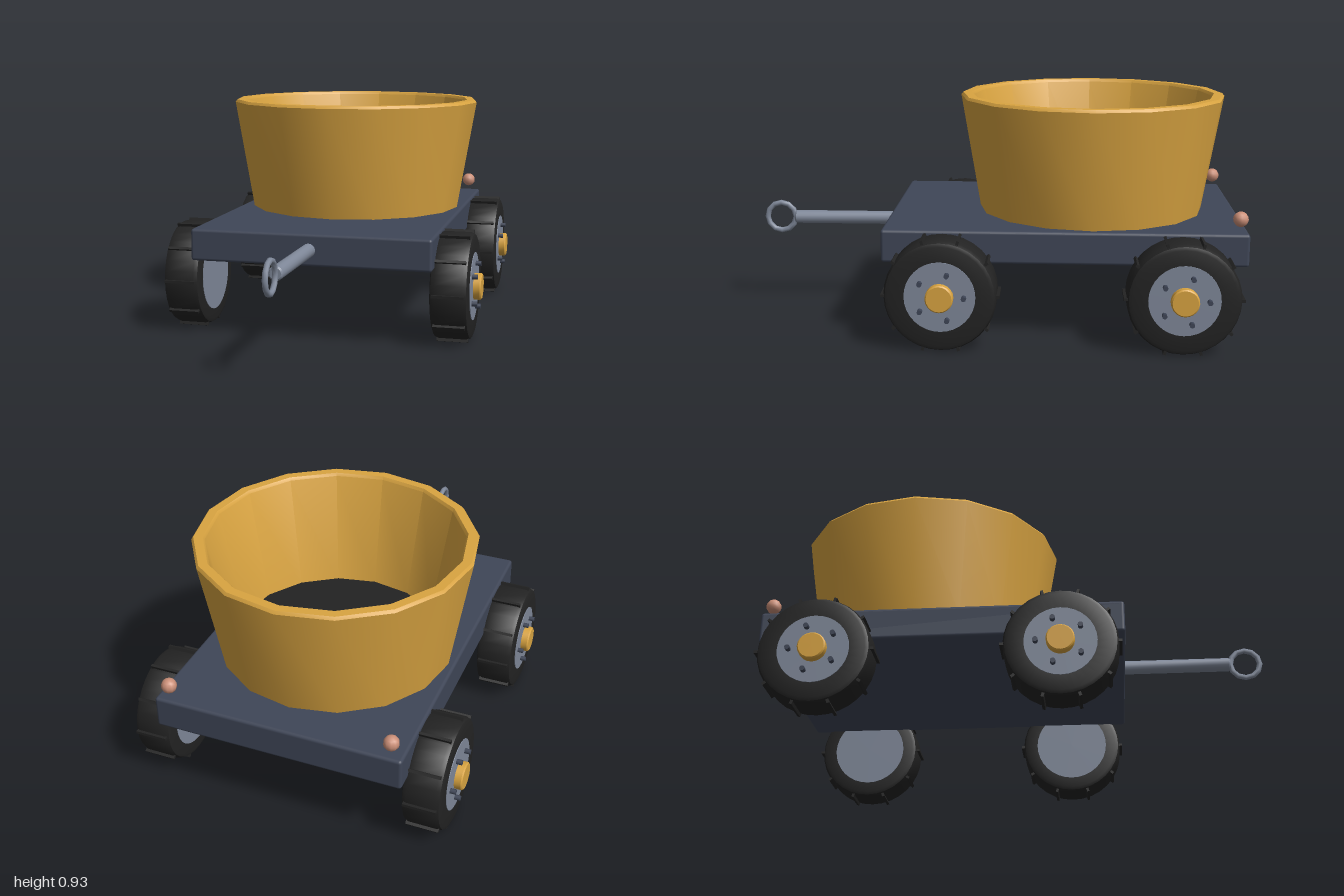
import * as THREE from 'three';
import { toCreasedNormals } from 'three/addons/utils/BufferGeometryUtils.js';
import { RoundedBoxGeometry } from 'three/addons/geometries/RoundedBoxGeometry.js';

const material = (name, color) => {
  const m = new THREE.MeshStandardMaterial({ color });
  m.name = name;
  return m;
};

export function createModel() {
  const gold = material('gold', 0xd9a441);
  const slate = material('slate', 0x3f4657);
  const steel = material('steel', 0x7f8899);
  const rubber = material('rubber black', 0x232323);
  const copper = material('copper pink', 0xcb8f78);

  const model = new THREE.Group();
  model.name = 'tubWagon';

  const add = (parent, name, geometry, mat, x = 0, y = 0, z = 0) => {
    const mesh = new THREE.Mesh(geometry, mat);
    mesh.name = name;
    mesh.position.set(x, y, z);
    parent.add(mesh);
    return mesh;
  };
  const lathe = (profile, sides) => toCreasedNormals(
    new THREE.LatheGeometry(profile.map(([r, y]) => new THREE.Vector2(r, y)), sides), 0.5);

  // Flat bed
  add(model, 'bed', new RoundedBoxGeometry(0.984, 0.13, 1.425, 2, 0.012), slate, 0, 0.39, -0.2875);

  // Sixteen-sided open tub with a thick, softly bevelled rim
  add(model, 'tub', lathe([
    [0.465, 0.45], [0.546, 0.925], [0.538, 0.936], [0.503, 0.936], [0.495, 0.925], [0.408, 0.465],
  ], 16), gold, 0, 0, -0.4);
  add(model, 'tubFloor', new THREE.CircleGeometry(0.412, 16).rotateX(-Math.PI / 2), rubber, 0, 0.475, -0.4);

  // Wheels: tyre, tread bars, rim discs, hub and five bolts; side is +1 for left, -1 for right
  const addWheel = (name, side, z) => {
    const wheel = new THREE.Group();
    wheel.name = name;
    wheel.position.set(side * 0.55, 0.228, z);
    model.add(wheel);
    const turn = geometry => geometry.rotateZ(-side * Math.PI / 2);

    add(wheel, 'tyre', turn(lathe([
      [0.12, -0.073], [0.197, -0.075], [0.21, -0.07], [0.217, -0.055],
      [0.217, 0.055], [0.21, 0.07], [0.197, 0.075], [0.12, 0.073],
    ], 32)), rubber);
    add(wheel, 'rim', turn(new THREE.CylinderGeometry(0.137, 0.155, 0.152, 32)), steel);
    add(wheel, 'hub', turn(lathe([
      [0.054, 0.07], [0.054, 0.102], [0.049, 0.107], [0, 0.107],
    ], 20)), gold);

    for (let i = 0; i < 10; i++) {
      const a = i * Math.PI / 5;
      const bar = add(wheel, 'treadBar', new THREE.BoxGeometry(0.128, 0.018, 0.011), rubber,
        0, 0.219 * Math.sin(a), -0.219 * Math.cos(a));
      bar.rotation.x = a - Math.PI / 2;
    }
    for (let i = 0; i < 5; i++) {
      const a = i * Math.PI * 2 / 5;
      add(wheel, 'bolt', turn(new THREE.CylinderGeometry(0.01, 0.01, 0.03, 10)), slate,
        side * 0.083, 0.093 * Math.sin(a), -0.093 * Math.cos(a));
    }
  };
  for (const [sideName, side] of [['left', 1], ['right', -1]]) {
    addWheel(sideName + 'FrontWheel', side, 0.182);
    addWheel(sideName + 'RearWheel', side, -0.744);
    // Small beads over the rear corners
    add(model, sideName + 'RearBead', new THREE.SphereGeometry(0.03, 10, 8), copper,
      side * 0.442, 0.505, -0.967);
  }

  // Pull bar with rounded end and a ring standing in the centre plane
  add(model, 'pullBar', lathe([
    [0.028, 0], [0.028, 0.44], [0.022, 0.447], [0, 0.447],
  ], 16).rotateX(Math.PI / 2), steel, 0, 0.39, 0.42);
  add(model, 'pullRing', new THREE.TorusGeometry(0.061, 0.0115, 8, 12).rotateY(Math.PI / 2), steel,
    0, 0.39, 0.9275);

  return model;
}
